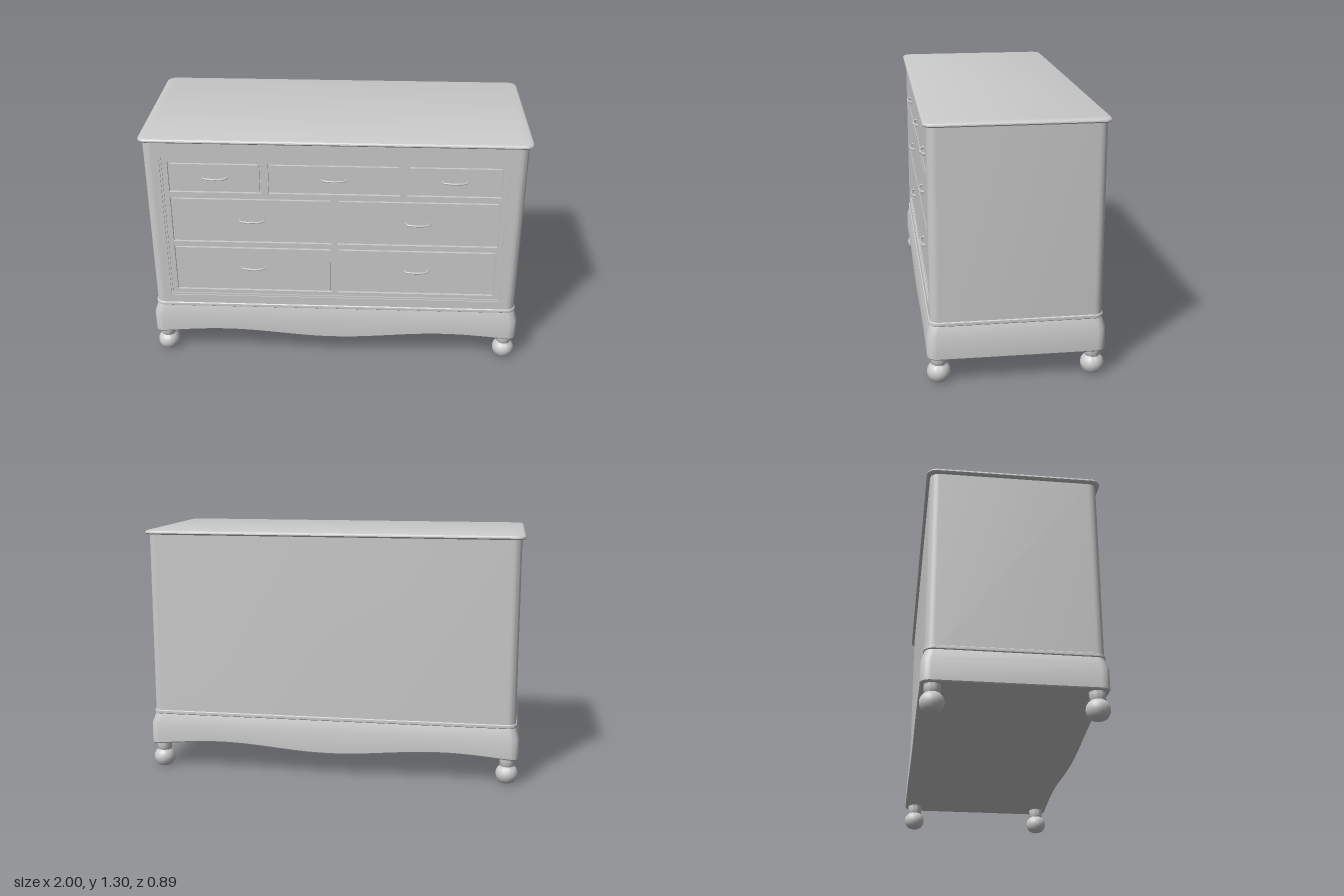
import * as THREE from 'three';
import { toCreasedNormals } from 'three/addons/utils/BufferGeometryUtils.js';

const material = new THREE.MeshStandardMaterial({ color: 0xcccccc });

function add(parent, name, geometry, x = 0, y = 0, z = 0) {
  const mesh = new THREE.Mesh(geometry, material);
  mesh.name = name;
  mesh.position.set(x, y, z);
  parent.add(mesh);
  return mesh;
}

// Rounded-rectangle outline: front half left to right, then its mirror at the back.
const ARC = 8;
function outline(hw, hd, r, y, n) {
  const half = [];
  for (let i = 0; i <= ARC; i++) {
    const a = Math.PI - (i / ARC) * Math.PI / 2;
    half.push([-hw + r + r * Math.cos(a), hd - r + r * Math.sin(a)]);
  }
  for (let i = 1; i < n; i++) half.push([(-1 + 2 * i / n) * (hw - r), hd]);
  for (let i = ARC; i >= 0; i--) half.push([-half[i][0], half[i][1]]);
  const back = half.map(([x, z]) => [x, -z]).reverse();
  return [...half, ...back].map(([x, z]) => new THREE.Vector3(x, typeof y === 'function' ? y(x) : y, z));
}

// Skin stacked outlines [halfWidth, halfDepth, radius, y], listed bottom to top.
function loft(sections, { n = 1, openFront = false } = {}) {
  const rings = sections.map(s => outline(...s, n));
  const count = rings[0].length;
  const pos = [];
  const quad = (a, b, c, d) => [a, b, c, a, c, d].forEach(p => pos.push(p.x, p.y, p.z));
  for (let s = 0; s < rings.length - 1; s++) {
    for (let i = 0; i < count; i++) {
      if (openFront && i >= ARC && i < ARC + n) continue;
      const j = (i + 1) % count;
      quad(rings[s][i], rings[s][j], rings[s + 1][j], rings[s + 1][i]);
    }
  }
  const low = rings[0], high = rings[rings.length - 1];
  for (let i = 0; i < count / 2 - 1; i++) {
    const k = count - 1 - i;
    quad(high[i], high[i + 1], high[k - 1], high[k]);
    quad(low[k], low[k - 1], low[i + 1], low[i]);
  }
  const geometry = new THREE.BufferGeometry();
  geometry.setAttribute('position', new THREE.Float32BufferAttribute(pos, 3));
  return toCreasedNormals(geometry, 0.45);
}

function rectangle(x0, x1, y0, y1, Type = THREE.Shape) {
  return new Type([[x0, y0], [x1, y0], [x1, y1], [x0, y1]].map(p => new THREE.Vector2(...p)));
}

// Flat board with rectangular openings.
function board(outer, holes, depth) {
  const shape = rectangle(...outer);
  holes.forEach(h => shape.holes.push(rectangle(...h, THREE.Path)));
  return new THREE.ExtrudeGeometry(shape, { depth, bevelEnabled: false });
}

function createHandle() {
  const handle = new THREE.Group();
  handle.name = 'handle';
  const curve = new THREE.CatmullRomCurve3([
    [-0.062, -0.003], [-0.056, 0.009], [-0.03, 0.017], [0, 0.02], [0.03, 0.017], [0.056, 0.009], [0.062, -0.003],
  ].map(([x, z]) => new THREE.Vector3(x, 0, z)));
  add(handle, 'handleBar', new THREE.TubeGeometry(curve, 28, 0.005, 8));
  for (const s of [-1, 1]) {
    const rose = add(handle, 'handleMount', new THREE.CylinderGeometry(0.007, 0.008, 0.01, 12), s * 0.062, 0, 0.003);
    rose.rotation.x = Math.PI / 2;
  }
  return handle;
}

export function createModel() {
  const chest = new THREE.Group();
  chest.name = 'chestOfDrawers';

  // Carcass, open at the front where the drawer frame sits
  add(chest, 'carcass', loft([[0.98, 0.425, 0.045, 0.3], [0.98, 0.425, 0.045, 1.287]], { openFront: true }));

  // Top with a rounded edge
  add(chest, 'top', loft([
    [0.982, 0.427, 0.04, 1.282], [0.994, 0.437, 0.045, 1.284], [1, 0.442, 0.048, 1.29],
    [0.999, 0.441, 0.047, 1.296], [0.994, 0.436, 0.045, 1.302], [0.985, 0.427, 0.04, 1.305],
  ]));

  // Bead between carcass and plinth
  add(chest, 'bead', loft([
    [0.98, 0.425, 0.045, 0.3], [0.985, 0.43, 0.048, 0.304], [0.986, 0.431, 0.048, 0.311],
    [0.985, 0.43, 0.048, 0.318], [0.98, 0.425, 0.045, 0.322],
  ]));

  // Plinth with a sloped shoulder and a scalloped lower edge
  const scallop = x => 0.1395 - 0.0175 * Math.cos(2 * Math.PI * x / 1.2);
  add(chest, 'plinth', loft([
    [0.996, 0.438, 0.046, scallop], [1, 0.442, 0.048, x => scallop(x) + 0.006],
    [1, 0.442, 0.048, 0.245], [0.98, 0.426, 0.045, 0.302],
  ], { n: 48 }));

  // Front frame around the recessed drawer field
  const field = [-0.895, 0.895, 0.37, 1.205];
  add(chest, 'frontFrame', board([-0.935, 0.935, 0.3, 1.287], [field], 0.02), 0, 0, 0.405);
  const inner = [-0.885, 0.885, 0.38, 1.195];
  add(chest, 'frameStep', board(field, [inner], 0.02), 0, 0, 0.4);

  // Drawer openings: [x0, x1, y0, y1, handle height]
  const drawers = [
    [-0.857, -0.377, 0.998, 1.168, 1.082], [-0.34, 0.337, 0.998, 1.168, 1.082], [0.373, 0.857, 0.998, 1.168, 1.082],
    [-0.857, -0.015, 0.703, 0.967, 0.834], [0.015, 0.857, 0.703, 0.967, 0.834],
    [-0.857, -0.015, 0.402, 0.674, 0.546], [0.015, 0.857, 0.402, 0.674, 0.546],
  ];
  add(chest, 'rails', board(inner, drawers.map(d => d.slice(0, 4)), 0.02), 0, 0, 0.395);
  add(chest, 'drawerBacking', new THREE.BoxGeometry(1.78, 0.82, 0.01), 0, 0.788, 0.396);

  // Drawer fronts separated from the rails by a groove
  for (const [x0, x1, y0, y1, hy] of drawers) {
    const drawer = new THREE.Group();
    drawer.name = 'drawer';
    const cx = (x0 + x1) / 2, gap = 0.009;
    add(drawer, 'drawerFront', new THREE.BoxGeometry(x1 - x0 - 2 * gap, y1 - y0 - 2 * gap, 0.02), cx, (y0 + y1) / 2, 0.404);
    const handle = createHandle();
    handle.position.set(cx, hy, 0.414);
    drawer.add(handle);
    chest.add(drawer);
  }

  // Bun feet with a neck
  const profile = [[0, 0.012], [0.03, 0], [0.043, 0.008], [0.053, 0.022], [0.058, 0.038], [0.059, 0.05], [0.056, 0.066],
    [0.048, 0.08], [0.036, 0.091], [0.039, 0.096], [0.039, 0.12], [0.041, 0.14]].map(p => new THREE.Vector2(...p));
  const footGeometry = toCreasedNormals(new THREE.LatheGeometry(profile, 32), 0.6);
  for (const x of [-0.94, 0.94]) {
    for (const z of [-0.384, 0.384]) add(chest, 'foot', footGeometry, x, 0, z);
  }

  return chest;
}
